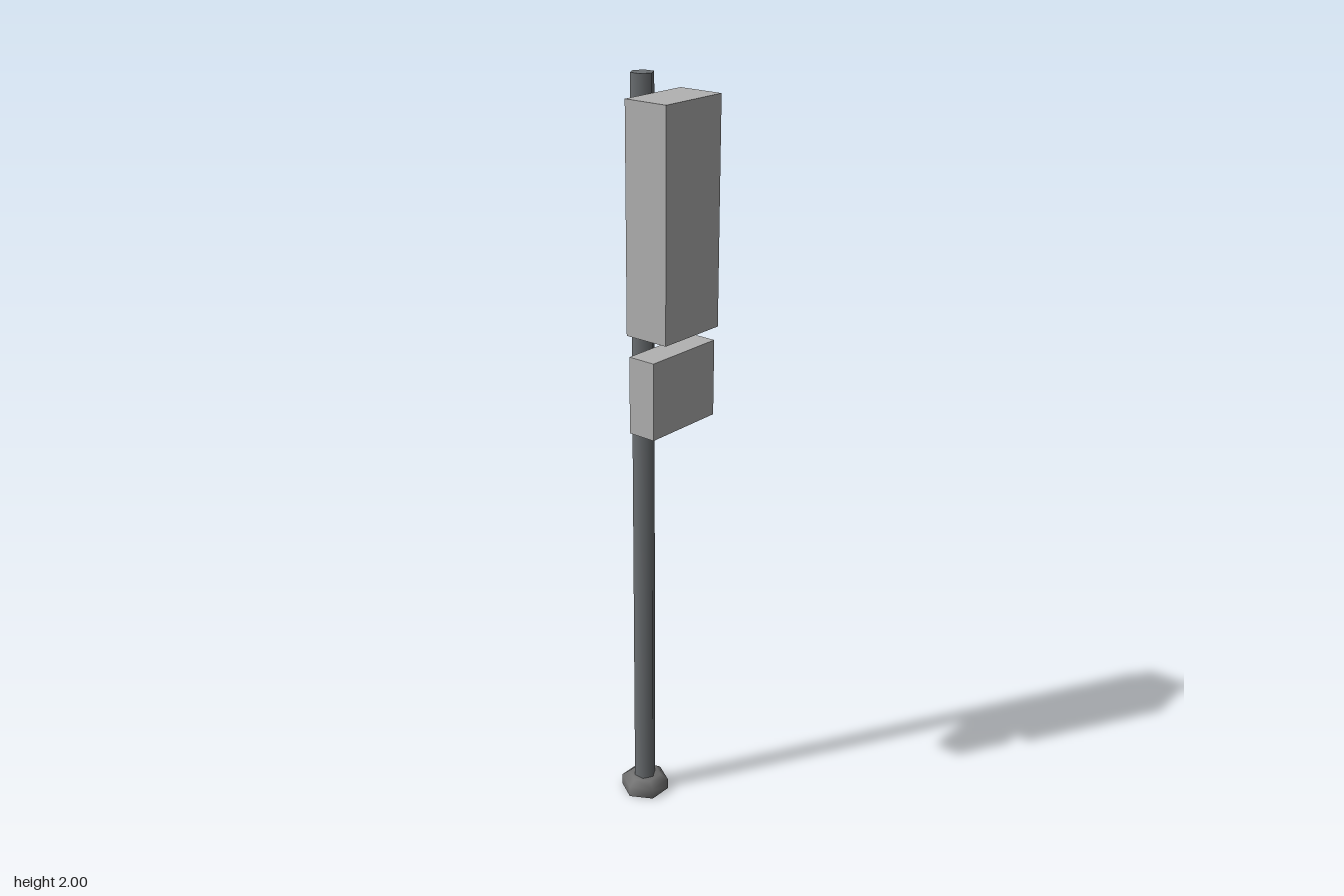
import * as THREE from 'three';

export function createModel() {
  const group = new THREE.Group();
  const mat = (name, color) => {
    const m = new THREE.MeshStandardMaterial({ color });
    m.name = name;
    return m;
  };
  const poleGrey = mat('poleGrey', 0x6c7073);
  const baseGrey = mat('baseGrey', 0x6e6e6e);
  const panelGrey = mat('panelGrey', 0xb2b2b2);
  const poleZ = -0.051;

  const add = (name, geometry, material, x, y, z) => {
    const mesh = new THREE.Mesh(geometry, material);
    mesh.name = name;
    mesh.position.set(x, y, z);
    group.add(mesh);
    return mesh;
  };
  // Box given by half width and its y and z ranges
  const box = (name, material, hx, y0, y1, z0, z1) =>
    add(name, new THREE.BoxGeometry(hx * 2, y1 - y0, z1 - z0), material, 0, (y0 + y1) / 2, (z0 + z1) / 2);

  // Six-sided smooth pole, corners pointing forward and back
  add('pole', new THREE.CylinderGeometry(0.03, 0.03, 2, 6), poleGrey, 0, 1, poleZ);

  // Foot: hexagonal collar with a chamfered top, corners pointing sideways
  const profile = [[0, 0], [0.066, 0], [0.066, 0], [0.066, 0.03], [0.045, 0.045], [0.02, 0.045]]
    .map(([r, y]) => new THREE.Vector2(r, y));
  const foot = add('foot', new THREE.LatheGeometry(profile.slice(2), 6), baseGrey, 0, 0, poleZ);
  foot.rotation.y = Math.PI / 6;
  const sole = add('footSole', new THREE.CircleGeometry(0.066, 6), baseGrey, 0, 0, poleZ);
  sole.rotation.x = Math.PI / 2;

  // Sign boxes
  box('upperBox', panelGrey, 0.1, 1.385, 1.955, -0.017, 0.107);
  box('lowerBox', panelGrey, 0.117, 1.14, 1.34, 0.006, 0.083);

  // Brackets joining the boxes to the pole
  for (const y of [1.53, 1.84]) box('upperBracket', poleGrey, 0.022, y - 0.016, y + 0.016, -0.034, -0.012);
  box('lowerBracket', poleGrey, 0.022, 1.226, 1.26, -0.034, 0.01);

  return group;
}
